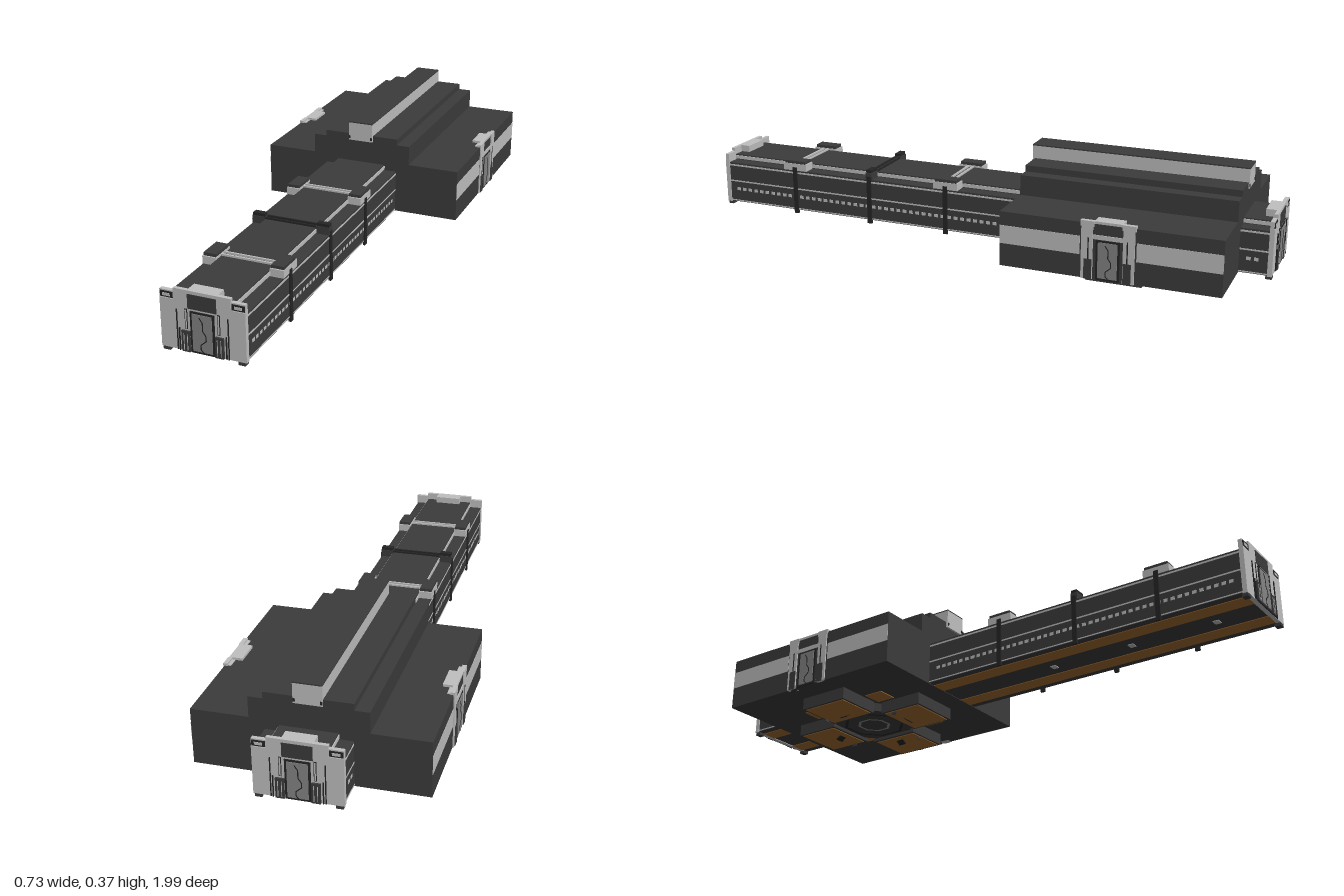
import * as THREE from 'three';

const mat = (name, color, side = THREE.FrontSide) => {
  const m = new THREE.MeshStandardMaterial({ color, side });
  m.name = name;
  return m;
};

export function createModel() {
  const dark = mat('dark hull', 0x3c3c3c);
  const light = mat('light panel', 0xc0c0c0);
  const mid = mat('door grey', 0x858585);
  const black = mat('trim black', 0x262626);
  const brown = mat('brown underside', 0xa56d30);

  const root = new THREE.Group();
  root.name = 'station';
  const body = new THREE.Group();
  body.name = 'building';
  body.position.x = 0.004;
  root.add(body);

  // box from its extents
  const box = (parent, name, m, x0, x1, y0, y1, z0, z1) => {
    const mesh = new THREE.Mesh(new THREE.BoxGeometry(x1 - x0, y1 - y0, z1 - z0), m);
    mesh.position.set((x0 + x1) / 2, (y0 + y1) / 2, (z0 + z1) / 2);
    mesh.name = name;
    parent.add(mesh);
    return mesh;
  };
  // same box on both sides of x = 0
  const pair = (parent, name, m, x0, x1, ...rest) => {
    box(parent, name, m, x0, x1, ...rest);
    box(parent, name, m, -x1, -x0, ...rest);
  };

  // door with frame, jagged seam and side consoles, facing +z from z = 0
  const door = (consoles) => {
    const g = new THREE.Group();
    g.name = 'doorway';
    box(g, 'doorFrame', black, -0.038, 0.038, 0.055, 0.184, 0, 0.003);
    box(g, 'doorLeaf', mid, -0.031, 0.031, 0.062, 0.178, 0.003, 0.005);
    const seam = [[-0.008, 0.17], [0.002, 0.155], [0.002, 0.13], [0.012, 0.115], [0.012, 0.1], [-0.005, 0.085], [-0.005, 0.07], [0.003, 0.062]];
    for (let i = 1; i < seam.length; i++) {
      const [ax, ay] = seam[i - 1], [bx, by] = seam[i];
      const s = new THREE.Mesh(new THREE.BoxGeometry(0.003, Math.hypot(bx - ax, by - ay), 0.001), black);
      s.position.set((ax + bx) / 2, (ay + by) / 2, 0.0055);
      s.rotation.z = Math.atan2(ax - bx, by - ay) + Math.PI;
      s.name = 'doorSeam';
      g.add(s);
    }
    if (consoles) {
      pair(g, 'console', dark, 0.04, 0.066, 0.055, 0.12, 0, 0.006);
      for (const x of [0.046, 0.057]) pair(g, 'consoleSlot', light, x, x + 0.002, 0.06, 0.112, 0.006, 0.007);
      pair(g, 'consolePost', black, 0.072, 0.075, 0.055, 0.125, 0, 0.004);
      pair(g, 'tallPost', black, 0.079, 0.082, 0.055, 0.182, 0, 0.003);
      pair(g, 'slotFrame', black, 0.047, 0.055, 0.126, 0.188, 0, 0.002);
      pair(g, 'slot', light, 0.049, 0.053, 0.128, 0.186, 0.002, 0.003);
    }
    return g;
  };

  // main hall with stepped roof
  const hall = new THREE.Group();
  hall.name = 'mainHall';
  body.add(hall);
  const ZB = -0.885, ZF = -0.175;
  box(hall, 'hallBody', dark, -0.357, 0.357, 0.055, 0.235, ZB, ZF);
  box(hall, 'lowerRoofStep', dark, -0.179, 0.179, 0.235, 0.302, ZB, ZF);
  box(hall, 'upperRoofStep', dark, -0.134, 0.134, 0.302, 0.323, ZB, ZF);
  box(hall, 'roofMonitor', light, -0.044, 0.044, 0.302, 0.366, ZB - 0.003, ZF + 0.008);
  box(hall, 'monitorRoof', dark, -0.044, 0.044, 0.366, 0.37, ZB - 0.003, ZF + 0.008);
  for (const z of [ZB - 0.004, ZF + 0.009])
    pair(hall, 'monitorClip', black, 0.037, 0.043, 0.308, 0.318, z - 0.001, z + 0.001);

  // side walls: light bands and doorways
  for (const s of [1, -1]) {
    const g = new THREE.Group();
    g.name = s > 0 ? 'leftWall' : 'rightWall';
    g.position.set(s * 0.357, 0, -0.53);
    g.rotation.y = s * Math.PI / 2;
    hall.add(g);
    pair(g, 'wallBand', light, 0.09, 0.355, 0.13, 0.19, 0, 0.001);
    pair(g, 'doorPillar', light, 0.048, 0.085, 0.055, 0.238, -0.02, 0.004);
    pair(g, 'pillarSlot', black, 0.06, 0.064, 0.065, 0.19, 0.004, 0.005);
    pair(g, 'pillarBase', dark, 0.05, 0.075, 0.055, 0.12, 0.004, 0.006);
    pair(g, 'pillarCap', light, 0.045, 0.088, 0.225, 0.243, -0.01, 0.004);
    box(g, 'doorLintel', light, -0.048, 0.048, 0.186, 0.2, 0, 0.003);
    box(g, 'doorCanopy', light, -0.045, 0.045, 0.235, 0.243, -0.042, 0.001);
    g.add(door(false));
  }

  // portal block, facing +z from z = 0
  const portal = (name) => {
    const g = new THREE.Group();
    g.name = name;
    box(g, 'portalWall', light, -0.134, 0.134, 0.055, 0.21, -0.015, 0);
    box(g, 'portalTop', light, -0.09, 0.09, 0.21, 0.245, -0.012, 0);
    pair(g, 'cornerWall', light, 0.09, 0.134, 0.21, 0.234, -0.015, -0.002);
    pair(g, 'cornerWindow', black, 0.092, 0.132, 0.212, 0.23, -0.002, 0);
    pair(g, 'windowPane', light, 0.1, 0.124, 0.216, 0.225, 0, 0.001);
    box(g, 'signRecess', dark, -0.045, 0.045, 0.19, 0.235, 0, 0.002);
    box(g, 'portalCanopy', light, -0.047, 0.047, 0.222, 0.245, -0.045, -0.012);
    pair(g, 'foot', dark, 0.108, 0.13, 0.045, 0.055, -0.02, 0);
    g.add(door(true));
    return g;
  };
  const front = portal('frontPortal');
  front.position.z = 0.99;
  const back = portal('backPortal');
  back.position.z = -0.99;
  back.rotation.y = Math.PI;
  body.add(front, back);

  // long corridor and short rear vestibule share one profile
  const passage = (name, z0, z1) => {
    const g = new THREE.Group();
    g.name = name;
    body.add(g);
    box(g, 'lowerBody', dark, -0.131, 0.131, 0.057, 0.203, z0, z1);
    box(g, 'raisedRoof', dark, -0.087, 0.087, 0.203, 0.222, z0, z1);
    pair(g, 'roofEdge', light, 0.087, 0.09, 0.206, 0.218, z0, z1);
    pair(g, 'upperBand', light, 0.131, 0.132, 0.191, 0.197, z0, z1);
    pair(g, 'middleBand', light, 0.131, 0.132, 0.132, 0.137, z0, z1);
    pair(g, 'lowerBand', light, 0.131, 0.132, 0.059, 0.063, z0, z1);
    for (let z = z0 + 0.03; z < z1 - 0.02; z += 0.024)
      pair(g, 'window', light, 0.131, 0.132, 0.1, 0.111, z, z + 0.014);
    pair(g, 'undersidePanel', brown, 0.05, 0.105, 0.055, 0.057, z0, z1);
    return g;
  };
  const corridor = passage('corridor', -0.175, 0.976);
  passage('rearVestibule', -0.976, -0.885);

  // corridor ribs
  for (const z of [0.7, 0.405, 0.115]) {
    const wide = z !== 0.405;
    pair(corridor, 'sideRib', black, 0.128, 0.136, 0.045, 0.215, z - 0.008, z + 0.008);
    pair(corridor, 'ribHead', wide ? light : dark, 0.088, 0.133, 0.203, 0.228, z - (wide ? 0.045 : 0.012), z + (wide ? 0.045 : 0.012));
    pair(corridor, 'ribCap', wide ? dark : black, 0.09, 0.131, 0.228, 0.238, z - (wide ? 0.04 : 0.01), z + (wide ? 0.04 : 0.01));
    for (const d of [-0.009, 0.009])
      box(corridor, 'roofRib', wide ? light : black, -0.088, 0.088, 0.222, 0.228, z + d - 0.003, z + d + 0.003);
    box(corridor, 'undersideHatch', light, -0.012, 0.012, 0.055, 0.057, z + 0.12, z + 0.14);
  }

  // foundation: four arms around an octagonal core
  const base = new THREE.Group();
  base.name = 'foundation';
  base.position.z = -0.525;
  body.add(base);
  for (let i = 0; i < 4; i++) {
    const arm = new THREE.Group();
    arm.name = 'foundationArm';
    arm.rotation.y = i * Math.PI / 2;
    base.add(arm);
    box(arm, 'armBlock', dark, -0.092, 0.092, 0.014, 0.055, 0.11, 0.274);
    box(arm, 'armUnderside', brown, -0.084, 0.084, 0.012, 0.014, 0.12, 0.266);
    box(arm, 'cornerPanel', brown, 0.105, 0.175, 0.053, 0.055, 0.105, 0.175);
    box(arm, 'armFin', dark, -0.082, -0.079, 0.002, 0.012, 0.15, 0.17);
    // slanted foot strut
    const strut = new THREE.Mesh(new THREE.BoxGeometry(0.03, 0.003, 0.026), black);
    strut.name = 'footStrut';
    strut.position.set(0, 0.008, 0.155);
    strut.rotation.set(0.6, 0, 0);
    arm.add(strut);
  }
  const core = new THREE.Mesh(new THREE.CylinderGeometry(0.145, 0.145, 0.03, 8).rotateY(Math.PI / 8), dark);
  core.name = 'foundationCore';
  core.position.y = 0.04;
  base.add(core);
  for (const [r, m] of [[0.11, black], [0.06, mid]]) {
    const ring = new THREE.Mesh(new THREE.RingGeometry(r - 0.01, r, 8).rotateX(Math.PI / 2).rotateY(Math.PI / 8), m);
    ring.name = 'coreRing';
    ring.position.y = 0.024;
    base.add(ring);
  }
  return root;
}
